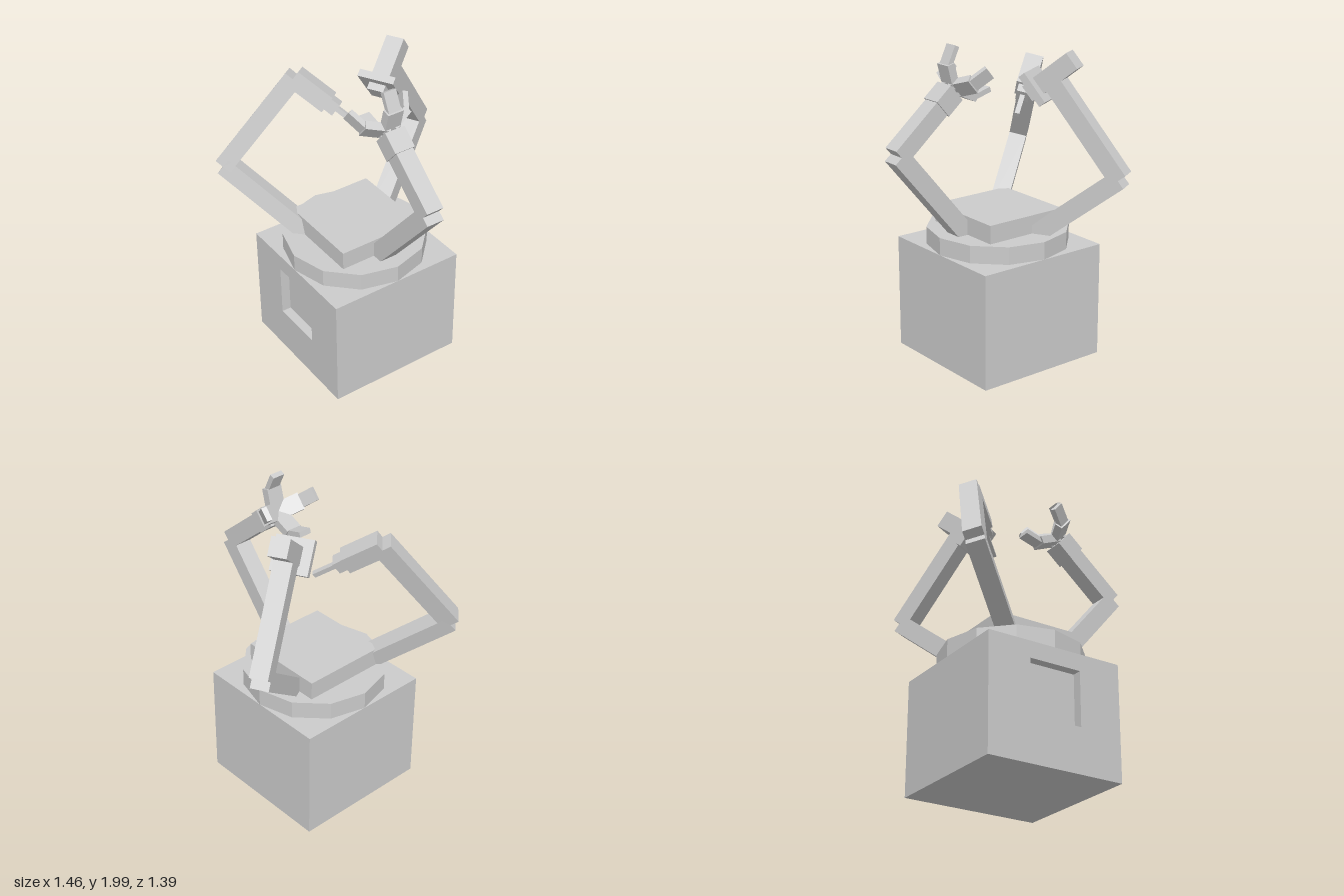
import * as THREE from 'three';

const grey = new THREE.MeshStandardMaterial({ color: 0xcccccc, flatShading: true });
const V = (x, y, z) => new THREE.Vector3(x, y, z);
const CX = -0.063, CZ = 0.09; // axis of the base
const BEAM = 0.112;

function add(parent, name, geometry, x = 0, y = 0, z = 0) {
  const mesh = new THREE.Mesh(geometry, grey);
  mesh.name = name;
  mesh.position.set(x, y, z);
  parent.add(mesh);
  return mesh;
}

// Box running from p to q: w is measured along side, h across it
function beam(parent, name, p, q, w, h, side) {
  const length = p.distanceTo(q);
  const dir = q.clone().sub(p).normalize();
  const up = dir.clone().cross(side).normalize();
  const across = up.clone().cross(dir);
  const mesh = add(parent, name, new THREE.BoxGeometry(w, h, length));
  mesh.quaternion.setFromRotationMatrix(new THREE.Matrix4().makeBasis(across, up, dir));
  mesh.position.copy(p).add(q).multiplyScalar(0.5);
}

// Point reached from o by going d along dir (and e along other)
const along = (o, dir, d, other, e = 0) => {
  const p = o.clone().addScaledVector(dir, d);
  return other ? p.addScaledVector(other, e) : p;
};

function group(parent, name) {
  const g = new THREE.Group();
  g.name = name;
  parent.add(g);
  return g;
}

function buildBase(root) {
  const base = group(root, 'base');
  const half = 0.445, height = 0.725, recess = 0.06;
  add(base, 'baseBlock', new THREE.BoxGeometry(2 * half, height, 2 * half - recess),
    CX, height / 2, CZ - recess / 2);

  // Front panel with a square recess
  const panel = new THREE.Shape([
    [-half, 0], [half, 0], [half, height], [-half, height],
  ].map(([x, y]) => new THREE.Vector2(x, y)));
  panel.holes.push(new THREE.Path([
    [-0.17, 0.28], [-0.17, 0.62], [0.17, 0.62], [0.17, 0.28],
  ].map(([x, y]) => new THREE.Vector2(x, y))));
  add(base, 'frontPanel', new THREE.ExtrudeGeometry(panel, { depth: recess, bevelEnabled: false }),
    CX, 0, CZ + half - recess);

  // Twelve-sided turntable and square top plate
  add(base, 'turntable', new THREE.CylinderGeometry(half, half, 0.11, 12), CX, 0.78, CZ);
  add(base, 'topPlate', new THREE.BoxGeometry(0.555, 0.12, 0.555), CX, 0.89, CZ);
}

// Arm on the left with a four-fingered gripper
function buildGripperArm(root) {
  const arm = group(root, 'gripperArm');
  const side = V(0, 0, 1);
  const elbow = V(0.677, 1.396, CZ);
  const a = V(-0.763, 0.646, 0).normalize();
  const n = V(0.646, 0.763, 0).normalize();
  beam(arm, 'lowerArm', V(0.185, 0.805, CZ), elbow, BEAM, BEAM, side);
  beam(arm, 'upperArm', elbow, along(elbow, a, 0.42), BEAM, BEAM, side);
  beam(arm, 'wrist', along(elbow, a, 0.375), along(elbow, a, 0.505), 0.132, 0.128, side);
  for (let i = 0; i < 4; i++) {
    const finger = group(arm, 'finger');
    const out = n.clone().applyAxisAngle(a, i * Math.PI / 2);
    const across = a.clone().cross(out);
    const knuckle = along(elbow, a, 0.59, out, 0.145);
    beam(finger, 'fingerBase', along(elbow, a, 0.525, out, 0.01), knuckle, 0.105, 0.05, across);
    beam(finger, 'fingerTip', along(elbow, a, 0.58, out, 0.135),
      along(elbow, a, 0.694, out, 0.187), 0.083, 0.032, across);
  }
}

// Rear arm with a box-shaped sensor head
function buildSensorArm(root) {
  const arm = group(root, 'sensorArm');
  const u = V(-0.476, 0, -0.88).normalize();
  const side = V(0.88, 0, -0.476).normalize();
  const at = (r, y) => along(V(CX, y, CZ), u, r, side, 0.039);
  const elbow = at(0.796, 1.228);
  beam(arm, 'lowerArm', at(0.243, 0.8), elbow, BEAM, BEAM, side);
  beam(arm, 'upperArm', elbow, at(0.359, 1.795), BEAM, BEAM, side);

  const back = at(0.499, 1.91);
  const d = u.clone().multiplyScalar(-0.78).add(V(0, -0.62, 0)).normalize();
  beam(arm, 'sensorBody', back, along(back, d, 0.27), BEAM, BEAM, side);
  beam(arm, 'sensorPlate', along(back, d, 0.26), along(back, d, 0.305), 0.23, 0.21, side);
  beam(arm, 'sensorLens', along(back, d, 0.3), along(back, d, 0.35), 0.105, 0.105, side);
}

// Front right arm, leaning in a tilted plane, with a thin probe
function buildProbeArm(root) {
  const arm = group(root, 'probeArm');
  const side = V(-0.686, -0.225, -0.692).normalize();
  const elbow = V(-0.663, 1.205, 0.63);
  const wrist = V(-0.457, 1.78, 0.237);
  beam(arm, 'lowerArm', V(-0.205, 0.805, 0.302), elbow, BEAM, BEAM, side);
  beam(arm, 'upperArm', elbow, wrist, BEAM, BEAM, side);

  const tip = V(-0.14, 1.528, 0.008);
  const d = tip.clone().sub(wrist).normalize();
  beam(arm, 'probeBody', wrist, along(wrist, d, 0.25), BEAM, BEAM, side);
  beam(arm, 'probeCollar', along(wrist, d, 0.24), along(wrist, d, 0.31), 0.08, 0.08, side);
  beam(arm, 'probe', along(wrist, d, 0.3), tip, 0.03, 0.03, side);
}

export function createModel() {
  const root = new THREE.Group();
  root.name = 'threeArmMachine';
  buildBase(root);
  buildGripperArm(root);
  buildSensorArm(root);
  buildProbeArm(root);
  return root;
}
